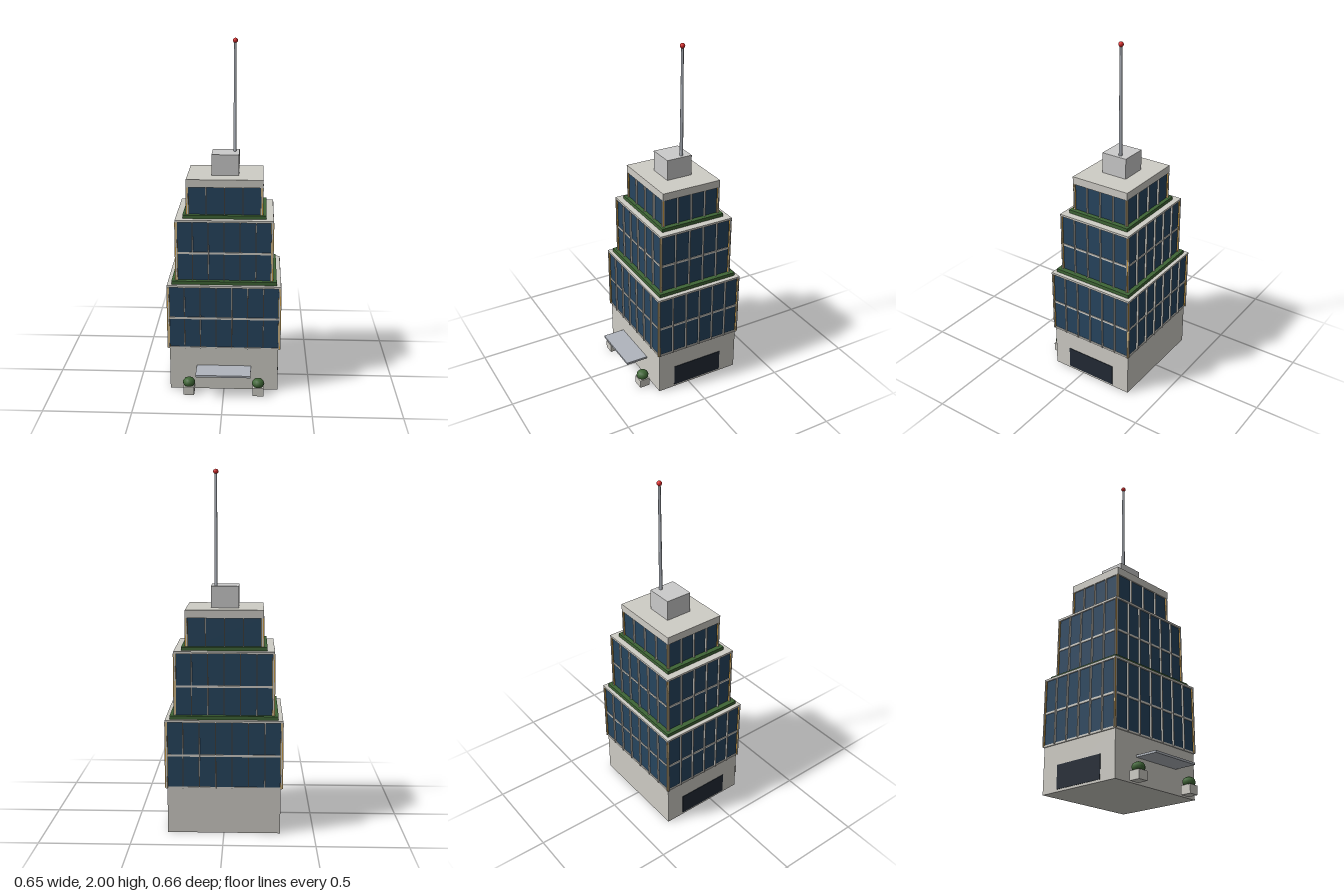
import * as THREE from 'three';

const mat = (color) => new THREE.MeshStandardMaterial({ color });
const CZ = -0.061; // depth centre of the tower

export function createModel() {
  const concrete = mat(0xcfcdc6), glass = mat(0x27455f), hedge = mat(0x3f6636);
  const dark = mat(0x222a35), metal = mat(0xb0b5bd), gold = mat(0xcf9f45), red = mat(0xd92b2b);
  const model = new THREE.Group();
  model.name = 'officeTower';

  const add = (parent, name, geometry, material, x, y, z) => {
    const mesh = new THREE.Mesh(geometry, material);
    mesh.name = name;
    mesh.position.set(x, y, z);
    parent.add(mesh);
    return mesh;
  };
  // Box given by half width, half depth and its bottom and top heights
  const block = (parent, name, hx, hz, y0, y1, material, x = 0, z = 0) =>
    add(parent, name, new THREE.BoxGeometry(2 * hx, y1 - y0, 2 * hz), material, x, (y0 + y1) / 2, z);

  const tower = new THREE.Group();
  tower.name = 'tower';
  tower.position.z = CZ;
  model.add(tower);

  // Ground floor with a dark opening on each side
  block(tower, 'base', 0.313, 0.26, 0, 0.26, concrete);
  for (const s of [-1, 1]) block(tower, 'sideEntrance', 0.004, 0.156, 0.013, 0.143, dark, s * 0.312, 0.003);

  // Stepped glazed tiers
  const tiers = [
    { hx: 0.316, hz: 0.261, y0: 0.26, y1: 0.645, nx: 7, nz: 6, floors: 2, cap: 0.012 },
    { hx: 0.269, hz: 0.222, y0: 0.645, y1: 1.02, nx: 6, nz: 5, floors: 2, cap: 0.012, bed: [0.299, 0.248] },
    { hx: 0.208, hz: 0.173, y0: 1.02, y1: 1.242, nx: 4, nz: 4, floors: 1, cap: 0.045, bed: [0.236, 0.196] },
  ];
  tiers.forEach((t, i) => {
    const tier = new THREE.Group();
    tier.name = 'tier' + (i + 1);
    tower.add(tier);
    const { hx, hz, y0, y1, nx, nz } = t;
    const top = y1 - t.cap;
    block(tier, 'glazing', hx, hz, y0, top, glass);
    block(tier, 'roofSlab', hx + 0.008, hz + 0.008, top, y1, concrete);
    if (t.bed) block(tier, 'terraceHedge', t.bed[0], t.bed[1], y0, y0 + 0.02, hedge);
    else block(tier, 'bottomBand', hx + 0.004, hz + 0.004, y0 - 0.004, y0 + 0.007, concrete);
    // Floor bands between storeys
    for (let f = 1; f < t.floors; f++) {
      const y = y0 + ((y1 - y0) * f) / t.floors;
      block(tier, 'floorBand', hx + 0.004, hz + 0.004, y - 0.013, y - 0.001, concrete);
    }
    // Vertical fins on all four faces
    for (const s of [-1, 1]) {
      for (let k = 0; k <= nx; k++)
        block(tier, 'fin', 0.003, 0.0055, y0, top, concrete, -hx + (2 * hx * k) / nx, s * (hz + 0.005));
      for (let k = 0; k <= nz; k++)
        block(tier, 'fin', 0.0055, 0.003, y0, top, concrete, s * (hx + 0.005), -hz + (2 * hz * k) / nz);
      // Gilded corner posts
      for (const c of [-1, 1])
        block(tier, 'cornerPost', 0.006, 0.006, y0, top, gold, s * (hx + 0.001), c * (hz + 0.001));
    }
  });

  // Rooftop plant room, mast and beacon
  block(tower, 'plantRoom', 0.078, 0.078, 1.242, 1.362, mat(0xcccccc));
  add(tower, 'mast', new THREE.CylinderGeometry(0.007, 0.01, 0.63, 10), metal, 0.052, 1.67, -0.026);
  add(tower, 'beacon', new THREE.SphereGeometry(0.0145, 12, 8), red, 0.052, 1.9855, -0.026);

  // Entrance canopy
  block(model, 'canopy', 0.157, 0.068, 0.138, 0.15, metal, 0, 0.262);

  // Planters flanking the entrance
  for (const s of [-1, 1]) {
    const planter = new THREE.Group();
    planter.name = 'planter';
    planter.position.set(s * 0.2, 0, 0.252);
    model.add(planter);
    block(planter, 'planterBox', 0.031, 0.031, 0, 0.05, concrete);
    add(planter, 'shrub', new THREE.SphereGeometry(0.036, 10, 8), hedge, 0, 0.068, 0).scale.y = 0.8;
  }
  return model;
}
